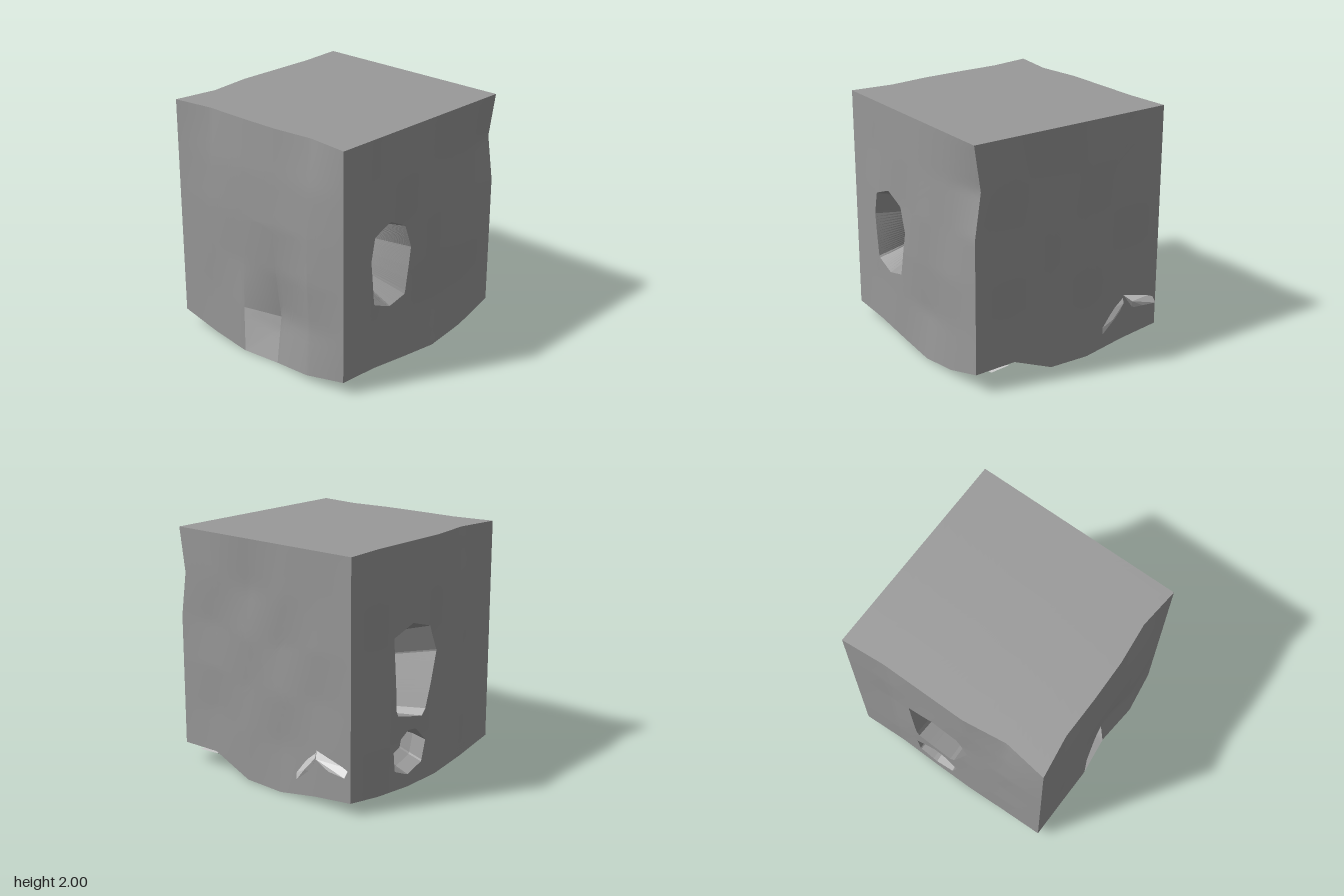
import * as THREE from 'three';
import { ConvexGeometry } from 'three/addons/geometries/ConvexGeometry.js';

const lerp = THREE.MathUtils.lerp;
const smoothMat = new THREE.MeshStandardMaterial({ color: 0x999999, side: THREE.DoubleSide });
const flatMat = new THREE.MeshStandardMaterial({ color: 0x999999, side: THREE.DoubleSide, flatShading: true });
const paleMat = new THREE.MeshStandardMaterial({ color: 0xd8d8d8, side: THREE.DoubleSide, flatShading: true });

// Bilinear lookup in a small table of rows, a along the row, b across rows
function sample(rows, a, b) {
  const pick = (row) => {
    const t = a * (row.length - 1), i = Math.min(Math.floor(t), row.length - 2);
    return lerp(row[i], row[i + 1], t - i);
  };
  const t = b * (rows.length - 1), j = Math.min(Math.floor(t), rows.length - 2);
  return lerp(pick(rows[j]), pick(rows[j + 1]), t - j);
}

// Offsets of the uneven faces, first row lowest (or rearmost for the underside)
const frontZ = [
  [0.95, 0.945, 0.945, 0.905, 0.945, 0.9],
  [0.95, 0.94, 0.945, 0.85, 0.91, 0.9],
  [0.95, 0.945, 0.93, 0.905, 0.93, 0.9],
  [0.95, 0.945, 0.935, 0.93, 0.925, 0.9],
  [0.95, 0.93, 0.93, 0.92, 0.91, 0.9],
  [0.95, 0.9, 0.905, 0.9, 0.865, 0.9]];
const leftX = [
  [-0.9, -0.87, -0.87, -0.87, -0.865, -0.87],
  [-0.9, -0.88, -0.865, -0.87, -0.87, -0.87],
  [-0.9, -0.875, -0.885, -0.87, -0.865, -0.87],
  [-0.9, -0.87, -0.88, -0.86, -0.87, -0.87],
  [-0.9, -0.88, -0.87, -0.87, -0.85, -0.87],
  [-0.9, -0.87, -0.87, -0.87, -0.82, -0.87]];
const rightX = [
  [0.9, 0.9, 0.9, 0.9, 0.9, 0.9],
  [0.9, 0.89, 0.87, 0.9, 0.895, 0.9],
  [0.9, 0.9, 0.89, 0.9, 0.9, 0.9],
  [0.9, 0.885, 0.9, 0.89, 0.9, 0.9],
  [0.845, 0.88, 0.895, 0.9, 0.895, 0.9],
  [0.9, 0.9, 0.9, 0.9, 0.9, 0.9]];
const backZ = [
  [-0.895, -0.895, -0.895, -0.895, -0.895, -0.895],
  [-0.895, -0.89, -0.88, -0.895, -0.885, -0.895],
  [-0.895, -0.88, -0.895, -0.885, -0.895, -0.895],
  [-0.895, -0.895, -0.875, -0.895, -0.88, -0.895],
  [-0.895, -0.89, -0.895, -0.87, -0.895, -0.895],
  [-0.895, -0.895, -0.895, -0.895, -0.895, -0.895]];
const baseY = [
  [0.1, 0.06, 0, 0.01, 0.165, 0.16],
  [0.03, 0.05, 0.04, 0.04, 0.06, 0.05],
  [0, 0.05, 0.01, 0.02, 0.05, 0],
  [0, 0.05, 0.01, 0.01, 0.05, 0.04],
  [0.05, 0.06, 0.04, 0.04, 0.06, 0.085],
  [0.13, 0.05, 0, 0, 0.05, 0.105]];

// The six faces as maps from the unit square
const faces = {
  front: (a, b) => [lerp(-0.87, 0.9, a), lerp(sample(baseY, a, 1), 2, b), sample(frontZ, a, b)],
  back: (a, b) => [lerp(-0.9, sample(rightX, 0, b), a), lerp(sample(baseY, a, 0), 2, b), sample(backZ, a, b)],
  right: (a, b) => [sample(rightX, a, b), lerp(sample(baseY, 1, a), 2, b), lerp(-0.895, 0.9, a)],
  left: (a, b) => [sample(leftX, a, b), lerp(sample(baseY, 0, a), 2, b), lerp(-0.895, 0.95, a)],
  top: (a, b) => [lerp(sample(leftX, b, 1), 0.9, a), 2, lerp(-0.895, sample(frontZ, a, 1), b)],
  underside: (a, b) => [lerp(sample(leftX, b, 0), 0.9, a), sample(baseY, a, b), lerp(-0.895, sample(frontZ, a, 0), b)],
};

function surface(name, rings, material, flip = false) {
  const n = rings[0].length, index = [];
  for (let k = 0; k < rings.length - 1; k++) for (let i = 0; i < n; i++) {
    const j = (i + 1) % n, p = k * n + i, q = k * n + j;
    if (flip) index.push(p, q + n, p + n, p, q, q + n);
    else index.push(p, p + n, q + n, p, q + n, q);
  }
  const g = new THREE.BufferGeometry();
  g.setAttribute('position', new THREE.Float32BufferAttribute(rings.flat(2), 3));
  g.setIndex(index);
  g.computeVertexNormals();
  const mesh = new THREE.Mesh(g, material);
  mesh.name = name;
  return mesh;
}

// Distance from the centre to a star-shaped outline along a direction
function reach(outline, cx, cy, dx, dy) {
  for (let i = 0; i < outline.length; i++) {
    const [x1, y1] = outline[i], [x2, y2] = outline[(i + 1) % outline.length];
    const ex = x2 - x1, ey = y2 - y1, d = dx * ey - dy * ex;
    if (Math.abs(d) < 1e-9) continue;
    const t = ((x1 - cx) * ey - (y1 - cy) * ex) / d, s = ((x1 - cx) * dy - (y1 - cy) * dx) / d;
    if (t > 0 && s >= -1e-6 && s <= 1 + 1e-6) return t;
  }
  return 0;
}

// A panel of a face, as rings from an opening (or its centre) to its border; returns the rim
function panel(group, side, [a0, a1, b0, b1], hole) {
  const N = 30, border = [], c = [[a0, b0], [a1, b0], [a1, b1], [a0, b1]];
  for (let s = 0; s < 4; s++) for (let i = 0; i < N; i++) {
    const p = c[s], q = c[(s + 1) % 4];
    border.push([lerp(p[0], q[0], i / N), lerp(p[1], q[1], i / N)]);
  }
  const mid = (k) => hole ? hole.reduce((s, p) => s + p[k], 0) / hole.length : (c[0][k] + c[2][k]) / 2;
  const cx = mid(0), cy = mid(1), rings = [];
  for (let k = 0; k <= 14; k++) rings.push(border.map(([x, y]) => {
    const r = hole ? reach(hole, cx, cy, x - cx, y - cy) : 0, t = lerp(r, 1, k / 14);
    return faces[side](lerp(cx, x, t), lerp(cy, y, t));
  }));
  group.add(surface(side + 'Face', rings, smoothMat, ['right', 'back', 'top'].includes(side)));
  return rings[0];
}

const centre = (ring) => [0, 1, 2].map((k) => ring.reduce((s, p) => s + p[k], 0) / ring.length);

// A closed hollow behind an opening
function pit(group, name, rim, shift) {
  const m = centre(rim);
  const inner = (t, s) => rim.map((p) => p.map((v, k) => m[k] + (v - m[k]) * s + shift[k] * t));
  group.add(surface(name, [rim, inner(0.6, 0.95), inner(1, 0.8), inner(1, 0)], flatMat));
}

export function createModel() {
  const model = new THREE.Group();
  model.name = 'rockBlock';
  panel(model, 'top', [0, 1, 0, 1]);
  panel(model, 'back', [0, 1, 0, 1]);

  // Front, with a square opening at the foot into the hollow inside
  const [d0, d1, dh] = [0.405, 0.595, 0.2];
  panel(model, 'front', [0, d0, 0, 1]);
  panel(model, 'front', [d1, 1, 0, 1]);
  panel(model, 'front', [d0, d1, dh, 1]);

  // Winding cave through the block, from the right face to the left one
  const zy = (pts, z0, z1) => pts.map(([z, y]) => [(z - z0) / (z1 - z0), (y - 0.03) / 1.97]);
  const rightRim = panel(model, 'right', [0, 1, 0, 1], zy(
    [[0.37, 0.54], [0.55, 0.6], [0.59, 0.99], [0.55, 1.19], [0.37, 1.27], [0.19, 1.19], [0.12, 0.99], [0.19, 0.6]], -0.895, 0.9));
  const leftRim = panel(model, 'left', [0, 1, 0.27, 1], zy(
    [[-0.31, 0.65], [0.05, 0.57], [0.215, 1.07], [0.12, 1.29], [-0.115, 1.36], [-0.35, 1.28]], -0.895, 0.95));
  const bend = (rim, x, y, z, sy, sz, lean = 0) => {
    const c = centre(rim);
    return rim.map((p) => [x, y + (p[1] - c[1]) * sy, z + (p[2] - c[2]) * sz - (p[1] - c[1]) * lean]);
  };
  model.add(surface('cave', [rightRim, bend(rightRim, 0.6, 0.97, 0.32, 0.72, 0.5, 0.1),
    bend(rightRim, 0.5, 0.97, 0.05, 0.8, 0.62), bend(leftRim, -0.4, 0.95, -0.08, 0.9, 0.9), leftRim], flatMat));

  // Small hollow low on the left face
  const lowRim = panel(model, 'left', [0, 1, 0, 0.27], zy(
    [[-0.32, 0.19], [-0.15, 0.13], [0.03, 0.19], [0.08, 0.36], [-0.05, 0.49], [-0.15, 0.5], [-0.34, 0.38]], -0.895, 0.95));
  pit(model, 'lowHollow', lowRim, [0.2, 0.05, 0]);

  // Underside in six panels, each with a hollow: centre, radii and depth
  const sz = 0.43;
  for (const [area, x, z, rx, rz, depth] of [
    [[0.79, 1, sz, 1], 0.67, 0.43, 0.12, 0.13, 0.02], [[0.5, 0.79, sz, 1], 0.45, 0.3, 0.05, 0.2, 0.08],
    [[0, 0.5, sz, 1], -0.35, 0.1, 0.13, 0.08, 0.02], [[0.765, 1, 0, sz], 0.63, -0.7, 0.13, 0.12, 0.03],
    [[0.5, 0.765, 0, sz], 0.36, -0.58, 0.11, 0.06, 0.06], [[0, 0.5, 0, sz], -0.61, -0.34, 0.06, 0.21, 0.08]]) {
    const outline = Array.from({ length: 8 }, (_, i) => {
      const t = i / 8 * Math.PI * 2;
      return [(x + rx * Math.cos(t) + 0.88) / 1.78, (z + rz * Math.sin(t) + 0.895) / 1.83];
    });
    pit(model, 'undersideHollow', panel(model, 'underside', area, outline), [0, depth, 0]);
  }

  // Two splinters meeting in a peak on the back, and a chip under the rear corner
  const chips = {
    rightSplinter: [[-0.87, 0.37, -0.88], [-0.87, 0.31, -0.935], [-0.72, 0.33, -0.945], [-0.6, 0.4, -0.95], [-0.55, 0.45, -0.88], [-0.66, 0.3, -0.88]],
    leftSplinter: [[-0.55, 0.45, -0.88], [-0.55, 0.38, -0.905], [-0.44, 0.26, -0.905], [-0.28, 0.17, -0.88], [-0.5, 0.25, -0.88], [-0.33, 0.13, -0.89], [-0.42, 0.34, -0.88]],
    cornerChip: [[0.57, 0.13, -0.86], [0.75, 0.13, -0.88], [0.75, 0.12, -0.7], [0.6, 0.11, -0.72], [0.6, 0.1, -0.8], [0.72, 0.1, -0.8]],
  };
  for (const [name, pts] of Object.entries(chips)) {
    const mesh = new THREE.Mesh(new ConvexGeometry(pts.map((p) => new THREE.Vector3(...p))), paleMat);
    mesh.name = name;
    model.add(mesh);
  }
  return model;
}
